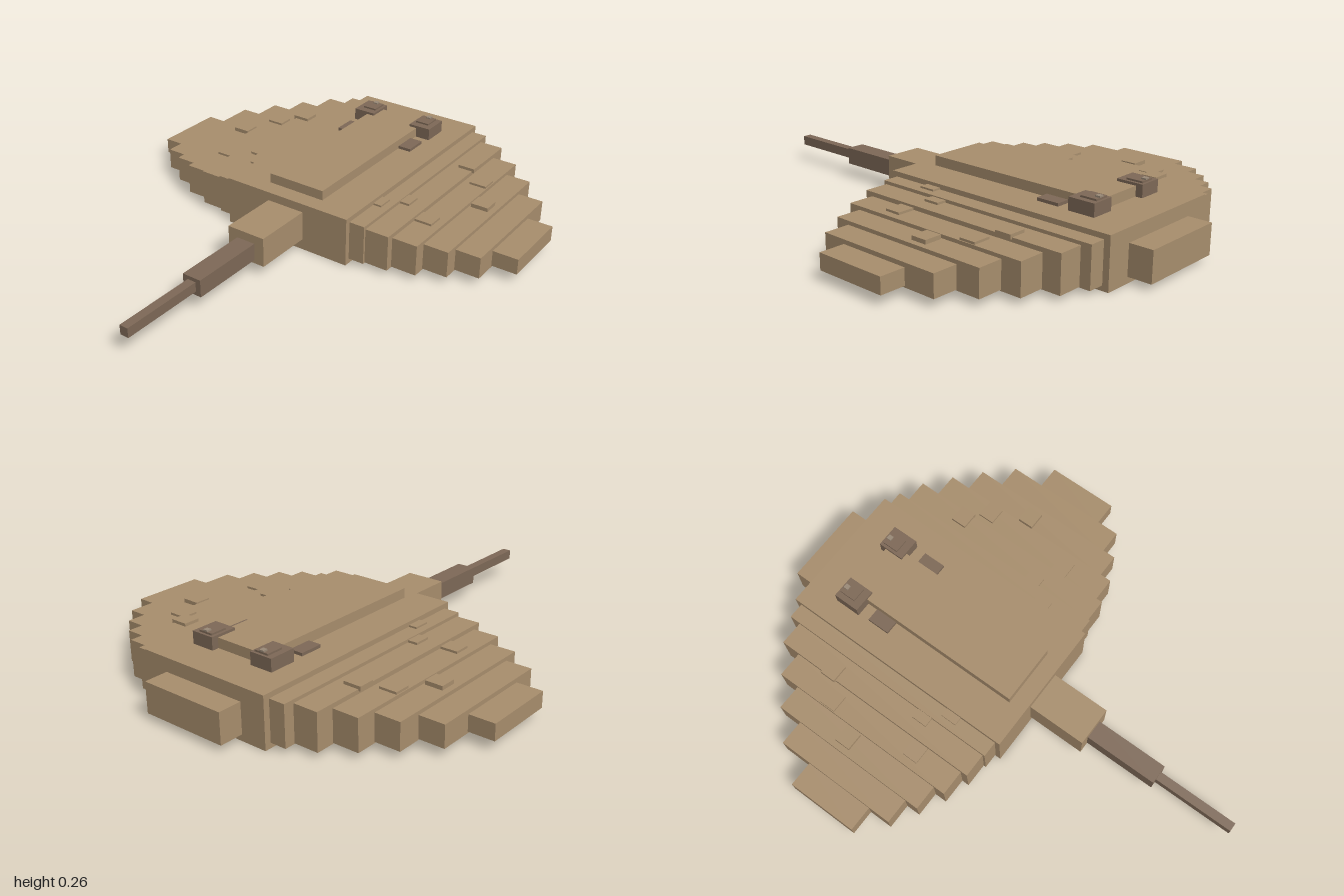
import * as THREE from 'three';

export function createModel() {
  const ray = new THREE.Group();
  ray.name = 'stingray';

  const sand = new THREE.MeshStandardMaterial({ color: 0xa88e6d });
  sand.name = 'sand';
  const brown = new THREE.MeshStandardMaterial({ color: 0x7e6957 });
  brown.name = 'brown';
  const glint = new THREE.MeshStandardMaterial({ color: 0x9a8a78 });
  glint.name = 'glint';

  // Box given by its extents on each axis
  function block(name, material, [x0, x1], [y0, y1], [z0, z1]) {
    const mesh = new THREE.Mesh(new THREE.BoxGeometry(x1 - x0, y1 - y0, z1 - z0), material);
    mesh.position.set((x0 + x1) / 2, (y0 + y1) / 2, (z0 + z1) / 2);
    mesh.name = name;
    ray.add(mesh);
  }
  // The same box on both sides of the body
  function pair(name, material, [x0, x1], y, z) {
    block(name + 'Left', material, [x0, x1], y, z);
    block(name + 'Right', material, [-x1, -x0], y, z);
  }

  // Body, back ridge and snout
  block('body', sand, [-0.283, 0.283], [0, 0.2], [-0.905, 0.112]);
  block('backRidge', sand, [-0.125, 0.125], [0.2, 0.24], [-0.74, 0.042]);
  block('snout', sand, [-0.178, 0.178], [0.025, 0.145], [-1, -0.905]);

  // Tail, thinning to the tip
  block('tailBase', sand, [-0.082, 0.082], [0.045, 0.165], [0.112, 0.357]);
  block('tailMiddle', brown, [-0.04, 0.04], [0.06, 0.13], [0.357, 0.662]);
  block('tailTip', brown, [-0.018, 0.018], [0.076, 0.115], [0.662, 1]);

  // Stepped fin slats: outer x, bottom, top, front z, back z
  let inner = 0.283;
  [
    [0.348, 0.02, 0.18, -0.88, 0.09],
    [0.447, 0.022, 0.167, -0.837, 0.08],
    [0.552, 0.025, 0.15, -0.762, 0.05],
    [0.655, 0.03, 0.136, -0.68, 0],
    [0.758, 0.034, 0.121, -0.583, -0.058],
    [0.862, 0.04, 0.104, -0.452, -0.155],
  ].forEach(([outer, y0, y1, z0, z1], i) => {
    pair('finSlat' + (i + 1), sand, [inner, outer], [y0, y1], [z0, z1]);
    inner = outer;
  });

  // Raised spots on the fins: centre x, top, centre z
  [
    [0.42, 0.179, -0.6],
    [0.512, 0.159, -0.527],
    [0.595, 0.152, -0.385],
    [0.485, 0.159, -0.14],
    [0.352, 0.176, -0.198],
    [0.282, 0.187, -0.107],
  ].forEach(([x, top, z], i) => {
    pair('spot' + (i + 1), sand, [x - 0.036, x + 0.036], [top - 0.018, top], [z - 0.033, z + 0.033]);
  });

  // Eyes with a cap and a glint, and breathing holes behind them
  pair('eye', brown, [0.092, 0.188], [0.2, 0.25], [-0.768, -0.658]);
  pair('eyeCap', brown, [0.104, 0.164], [0.25, 0.257], [-0.758, -0.69]);
  pair('eyeGlint', glint, [0.125, 0.145], [0.257, 0.263], [-0.758, -0.738]);
  pair('spiracle', brown, [0.126, 0.181], [0.2, 0.212], [-0.61, -0.515]);

  return ray;
}
